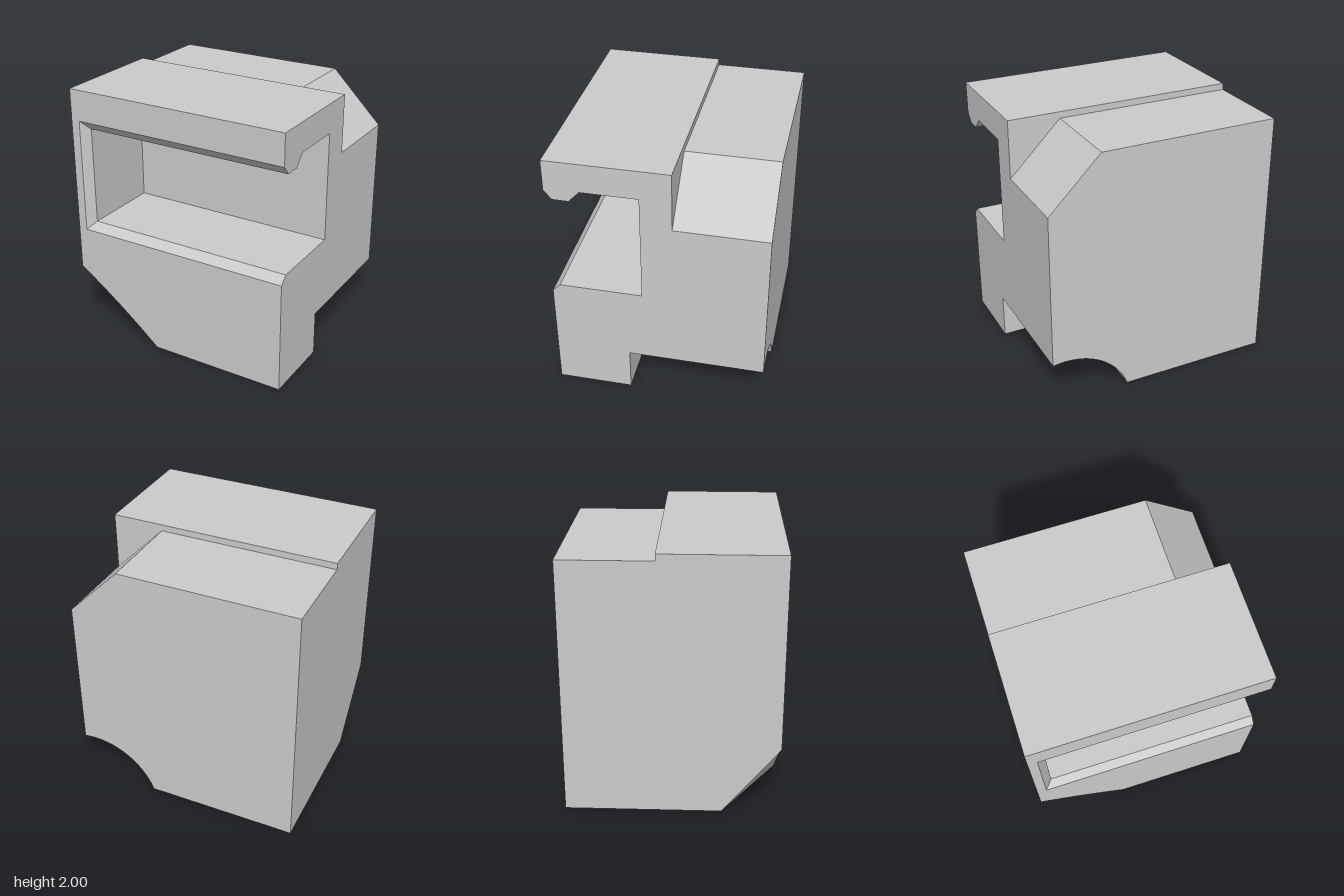
import * as THREE from 'three';
import { toCreasedNormals } from 'three/addons/utils/BufferGeometryUtils.js';

const W = 0.89, D = 0.8;              // half width, half depth
const STEP_Z = -0.11;                 // front edge of the lowered rear top
const material = new THREE.MeshStandardMaterial({ color: 0xcccccc });

// Planar polygon, triangulated and turned to look along the outward direction.
function face(out, direction, pts) {
  const v = pts.map((p) => new THREE.Vector3(...p));
  const dir = new THREE.Vector3(...direction);
  const a = direction.map(Math.abs);
  const drop = a.indexOf(Math.max(...a));
  const flat = pts.map((p) => new THREE.Vector2(...p.filter((_, i) => i !== drop)));
  for (const [i, j, k] of THREE.ShapeUtils.triangulateShape(flat, [])) {
    const n = v[j].clone().sub(v[i]).cross(v[k].clone().sub(v[i]));
    const tri = n.dot(dir) < 0 ? [i, k, j] : [i, j, k];
    for (const t of tri) out.push(...pts[t]);
  }
}

function part(name, build) {
  const out = [];
  build((direction, pts) => face(out, direction, pts));
  const g = new THREE.BufferGeometry();
  g.setAttribute('position', new THREE.Float32BufferAttribute(out, 3));
  const mesh = new THREE.Mesh(toCreasedNormals(g, 0.3), material);
  mesh.name = name;
  return mesh;
}

const atX = (x, list) => list.map(([y, z]) => [x, y, z]);
const atY = (y, list) => list.map(([x, z]) => [x, y, z]);
const atZ = (z, list) => list.map(([x, y]) => [x, y, z]);

export function createModel() {
  const model = new THREE.Group();
  model.name = 'notchedBlock';

  // Round notch under the rear of the left side
  const R = 0.535, cx = 0.79, cy = -0.18, notchZ = 0.23;
  const a0 = Math.acos((W - cx) / R), a1 = Math.PI - Math.asin(-cy / R);
  const arc = [];
  for (let i = 0; i <= 24; i++) {
    const a = a0 + ((a1 - a0) * i) / 24;
    arc.push([cx + R * Math.cos(a), cy + R * Math.sin(a)]);
  }
  const notchTop = arc[0][1], notchX = arc[24][0];

  // Gently curved edge of the cut front corner, and its rear point
  const cutZ = 0.37;
  const cutEdge = new THREE.QuadraticBezierCurve(
    new THREE.Vector2(-W, 0.53), new THREE.Vector2(-0.525, 0.29), new THREE.Vector2(-0.19, 0)
  ).getPoints(10).map((p) => [p.x, p.y]);

  // Pocket section as [y, z], from the lower lip round to the upper lip
  const pocket = [[0.87, D], [0.93, 0.74], [0.93, 0.12], [1.775, 0.12],
    [1.775, 0.54], [1.69, 0.62], [1.69, 0.74], [1.76, D]];
  const pocketX = -0.76, lipX = -0.82;

  model.add(part('outerShell', (f) => {
    f([0, 0, 1], atZ(D, [...cutEdge, [W, 0], [W, 0.87], [lipX, 0.87],
      [lipX, 1.76], [W, 1.76], [W, 2], [-W, 2]]));
    f([0, 0, -1], atZ(-D, [...arc, [-W, 0], [-W, 1.95], [0.49, 1.95], [W, 1.55]]));
    f([-1, 0, 0], atX(-W, [[0, cutZ], [0.53, D], [2, D], [2, STEP_Z],
      [1.95, STEP_Z], [1.95, -D], [0, -D]]));
    f([1, 0, 0], atX(W, [[0, D], [0, notchZ], [notchTop, notchZ], [notchTop, -D],
      [1.55, -D], [1.55, STEP_Z], [2, STEP_Z], [2, D], ...[...pocket].reverse()]));
    f([0, -1, 0], atY(0, [[-0.19, D], [W, D], [W, notchZ], [notchX, notchZ],
      [notchX, -D], [-W, -D], [-W, cutZ]]));
    f([0, 1, 0], atY(2, [[-W, STEP_Z], [W, STEP_Z], [W, D], [-W, D]]));
  }));

  // Lowered rear top with its sloping side and the step wall
  model.add(part('rearStep', (f) => {
    f([0, 1, 0], atY(1.95, [[-W, -D], [0.49, -D], [0.49, STEP_Z], [-W, STEP_Z]]));
    f([1, 1.1, 0], [[0.49, 1.95, -D], [W, 1.55, -D], [W, 1.55, STEP_Z], [0.49, 1.95, STEP_Z]]);
    f([0, 0, -1], atZ(STEP_Z, [[-W, 1.95], [-W, 2], [W, 2], [W, 1.55], [0.49, 1.95]]));
  }));

  // Side-open pocket with bevelled mouth and undercut ceiling
  model.add(part('frontPocket', (f) => {
    const normals = [[0, 1, 0.9], [0, 1, 0], [0, 0, 1], [0, -1, 0],
      [0, -1, -0.9], [0, -1, 0], [0, -1, 0.9]];
    const endX = (i) => (i === 0 || i === 7 ? lipX : pocketX);
    normals.forEach((n, i) => {
      const [p, q] = [pocket[i], pocket[i + 1]];
      f(n, [[endX(i), ...p], [W, ...p], [W, ...q], [endX(i + 1), ...q]]);
    });
    f([1, 0, 0], atX(pocketX, pocket.slice(1, 7)));
    f([1, 0, 0.9], [[lipX, 0.87, D], [pocketX, 0.93, 0.74], [pocketX, 1.69, 0.74], [lipX, 1.76, D]]);
  }));

  model.add(part('roundNotch', (f) => {
    for (let i = 0; i < 24; i++) {
      const [p, q] = [arc[i], arc[i + 1]];
      const n = [cx - (p[0] + q[0]) / 2, cy - (p[1] + q[1]) / 2, 0];
      f(n, [[...p, -D], [...q, -D], [...q, notchZ], [...p, notchZ]]);
    }
    f([0, 0, -1], atZ(notchZ, [...arc, [W, 0]]));
  }));

  model.add(part('cornerCut', (f) => {
    for (let i = 0; i < 10; i++) {
      f([-0.9, -1.2, 1], [[-W, 0, cutZ], [...cutEdge[i], D], [...cutEdge[i + 1], D]]);
    }
  }));

  return model;
}
